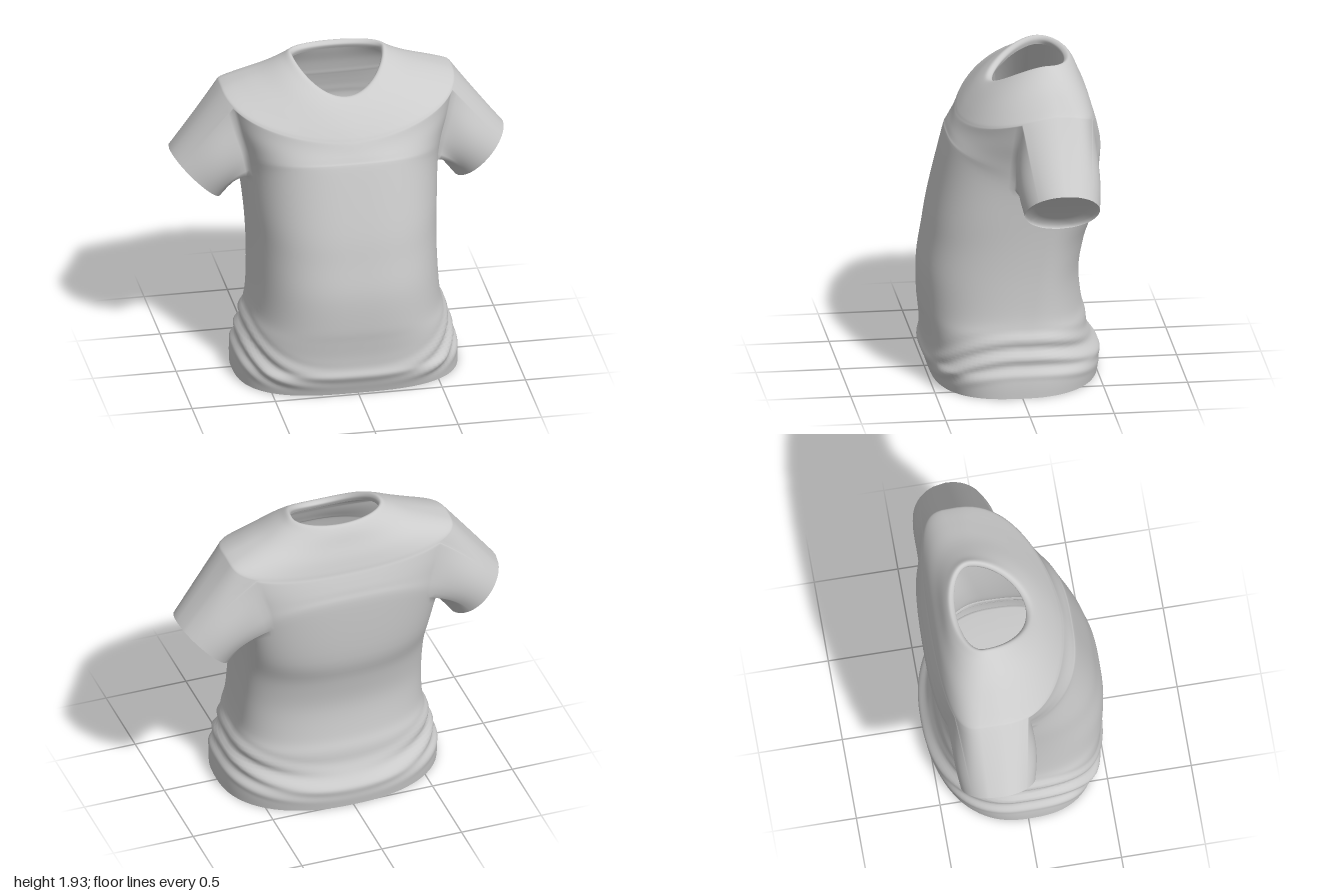
import * as THREE from 'three';

const N = 96;        // columns around the body
const S = 5;         // rings between two listed sections
const FRONT = 5, BACK = 10; // armhole width in columns, either side of the seam

// Body below the armpits: y, half width, front z, back z
const LOWER = [
  [0, 0.67, 0.48, -0.515], [0.06, 0.67, 0.5, -0.525], [0.12, 0.665, 0.525, -0.53],
  [0.17, 0.65, 0.515, -0.505], [0.25, 0.625, 0.515, -0.46], [0.35, 0.6, 0.525, -0.445],
  [0.45, 0.57, 0.535, -0.42], [0.65, 0.557, 0.535, -0.405], [0.85, 0.557, 0.505, -0.44],
  [1.05, 0.567, 0.47, -0.495],
];
// Chest to collar: side y, front y, back y, half width, front z, back z, roundness
const UPPER = [
  [1.22, 1.4, 1.42, 0.585, 0.385, -0.52, 0.72],
  [1.4, 1.46, 1.52, 0.61, 0.362, -0.508, 0.72],
  [1.58, 1.51, 1.58, 0.66, 0.337, -0.493, 0.72],
  [1.72, 1.55, 1.625, 0.693, 0.318, -0.479, 0.74],
  [1.75, 1.568, 1.645, 0.698, 0.308, -0.472, 0.75],
  [1.768, 1.59, 1.675, 0.665, 0.295, -0.465, 0.76],
  [1.8, 1.64, 1.74, 0.57, 0.26, -0.445, 0.8],
  [1.842, 1.7, 1.81, 0.45, 0.21, -0.415, 0.85],
  [1.9, 1.75, 1.88, 0.335, 0.16, -0.385, 0.93],
  [1.932, 1.772, 1.917, 0.285, 0.125, -0.355, 1],
  [1.912, 1.76, 1.9, 0.265, 0.095, -0.325, 1],
  [1.88, 1.73, 1.87, 0.27, 0.105, -0.335, 1],
];
const SECTIONS = [
  ...LOWER.map(([y, w, f, b]) => [y, y, y, w, f, b, 0.68 + 0.03 * y, -0.16 * y]),
  ...UPPER.map((r) => [...r, -0.2]),
];
const ROWS = (SECTIONS.length - 1) * S + 1;
const ARM_LOW = LOWER.length * S, ARM_TOP = ARM_LOW + 4 * S;
const COLLAR = ARM_LOW + 8 * S;
const { smoothstep, clamp } = THREE.MathUtils;

// Smooth interpolation between the listed sections
function sectionAt(row) {
  const last = SECTIONS.length - 1;
  const k = Math.min(Math.floor(row / S), last - 1), t = row / S - k;
  const at = (i) => SECTIONS[Math.min(Math.max(i, 0), last)];
  return at(k).map((b, n) => {
    const a = at(k - 1)[n], c = at(k + 1)[n], d = at(k + 2)[n];
    return b + 0.5 * t * (c - a + t * (2 * a - 5 * b + 4 * c - d + t * (3 * (b - c) + d - a)));
  });
}

function bodyPoint(col, section) {
  const [ySide, yFront, yBack, width, zFront, zBack, round, zSide] = section;
  const angle = (col / N) * Math.PI * 2;
  const c = Math.cos(angle), s = Math.sin(angle);
  const isFront = s >= 0, side = Math.abs(c), depth = Math.abs(s);
  // The back is rounder at the waist and squarer across the shoulder blades
  const blades = smoothstep(ySide, 0.9, 1.4) * (1 - smoothstep(ySide, 1.76, 1.9));
  const waist = 1 - smoothstep(ySide, 0.8, 1.3);
  const slope = smoothstep(ySide, 1.3, 1.72) * (1 - smoothstep(ySide, 1.75, 1.88));
  const xPower = round + (isFront ? 0.4 * slope : 0.22 * waist + 0.1 * slope);
  const zPower = round * (isFront ? 1.1 : 0.95 - 0.42 * blades + 0.33 * waist);
  const yPower = 1.2 + 0.6 * smoothstep(ySide, 1.76, 1.9);
  const x = Math.sign(c) * width * side ** xPower;
  const z = zSide + ((isFront ? zFront : zBack) - zSide) * depth ** zPower;
  const y = ySide + ((isFront ? yFront : yBack) - ySide) * depth ** yPower;
  // Bunched folds above the hem, deepest at the sides and sagging to the middle
  const phase = y + (isFront ? 0.2 : 0.1) * s * s;
  const mask = Math.sin(Math.PI * clamp((phase - 0.1) / 0.32, 0, 1)) * smoothstep(y, 0.02, 0.1);
  const fold = 1 + (0.006 + 0.016 * side) * mask * Math.sin((Math.PI * 2 * phase) / 0.105);
  return new THREE.Vector3(x * fold, y, z * fold);
}

export function createModel() {
  const model = new THREE.Group();
  model.name = 'shirt';
  const material = new THREE.MeshStandardMaterial({ color: 0xcccccc, side: THREE.DoubleSide });
  const points = [];
  const id = (col, row) => row * N + ((col + N) % N);
  const quad = (list, a, b, c, d) => list.push(a, d, c, a, c, b);
  const addMesh = (name, geometry) => {
    const mesh = new THREE.Mesh(geometry, material);
    mesh.name = name;
    model.add(mesh);
  };

  for (let row = 0; row < ROWS; row++) {
    const section = sectionAt(row);
    for (let col = 0; col < N; col++) points.push(bodyPoint(col, section));
  }

  // Body and collar faces, leaving the two armholes open
  const inArmhole = (col, row) => {
    if (row < ARM_LOW || row >= ARM_TOP) return false;
    const right = N / 2;
    return col < FRONT || col >= N - BACK || (col >= right - FRONT && col < right + BACK);
  };
  const body = [], collar = [];
  for (let row = 0; row < ROWS - 1; row++) {
    for (let col = 0; col < N; col++) {
      if (inArmhole(col, row)) continue;
      quad(row < COLLAR ? body : collar,
        id(col, row), id(col + 1, row), id(col + 1, row + 1), id(col, row + 1));
    }
  }

  // A sleeve grows from the edge of its armhole to a round slanted cuff
  function sleeve(side) {
    const c0 = side > 0 ? -BACK : N / 2 - FRONT;
    const c1 = side > 0 ? FRONT : N / 2 + BACK;
    const loop = [];
    for (let c = c0; c < c1; c++) loop.push(id(c, ARM_LOW));
    for (let r = ARM_LOW; r < ARM_TOP; r++) loop.push(id(c1, r));
    for (let c = c1; c > c0; c--) loop.push(id(c, ARM_TOP));
    for (let r = ARM_TOP; r > ARM_LOW; r--) loop.push(id(c0, r));

    // Ellipse from the shoulder (t = 0) to the cuff (t = 1)
    const mix = THREE.MathUtils.lerp;
    const ellipse = (a, t) => new THREE.Vector3(
      side * (mix(0.642, 0.85, t) + mix(0.057, 0.15, t) * Math.sin(a)),
      mix(1.485, 1.21, t) + mix(0.265, 0.15, t) * Math.sin(a),
      mix(-0.2, -0.212, t) + (mix(0.25, 0.222, t) + 0.01 * Math.sin(Math.PI * t)) * Math.cos(a));

    const faces = [], steps = 12, n = loop.length;
    let previous = loop;
    for (let k = 1; k <= steps; k++) {
      const t = k / steps;
      const ring = loop.map((index) => {
        const p = points[index];
        const a = Math.atan2((p.y - 1.485) / 0.265, (p.z + 0.2) / 0.25);
        const offset = p.clone().sub(ellipse(a, 0)).multiplyScalar((1 - t) ** 2.5);
        return points.push(ellipse(a, t).add(offset)) - 1;
      });
      for (let i = 0; i < n; i++) {
        const j = (i + 1) % n;
        quad(faces, previous[i], previous[j], ring[j], ring[i]);
      }
      previous = ring;
    }
    return { faces, cuff: previous.map((index) => points[index]) };
  }
  const left = sleeve(1), right = sleeve(-1);

  // Shared normals keep the joins between the parts smooth
  const whole = new THREE.BufferGeometry().setFromPoints(points);
  whole.setIndex([...body, ...collar, ...left.faces, ...right.faces]);
  whole.computeVertexNormals();
  const addPart = (name, index) => {
    const geometry = new THREE.BufferGeometry();
    geometry.setAttribute('position', whole.getAttribute('position'));
    geometry.setAttribute('normal', whole.getAttribute('normal'));
    geometry.setIndex(index);
    addMesh(name, geometry);
  };
  addPart('body', body);
  addPart('collar', collar);
  addPart('leftSleeve', left.faces);
  addPart('rightSleeve', right.faces);

  // Shallow hollow lining closing an opening; inward points into the shirt
  function addLining(name, rim, centre, inward, flip) {
    const n = rim.length, index = [], verts = [];
    const levels = [[1, 0], [0.975, 0.6], [0.7, 0.85], [0.35, 1]];
    for (const [scale, depth] of levels) {
      for (const p of rim) verts.push(centre.clone().lerp(p, scale).addScaledVector(inward, depth));
    }
    verts.push(centre.clone().add(inward));
    for (let i = 0; i < n; i++) {
      const j = (i + 1) % n;
      for (let k = 0; k < levels.length - 1; k++) {
        const a = k * n, b = a + n;
        if (flip) quad(index, a + i, a + j, b + j, b + i);
        else quad(index, a + j, a + i, b + i, b + j);
      }
      const a = (levels.length - 1) * n;
      index.push(verts.length - 1, a + (flip ? j : i), a + (flip ? i : j));
    }
    const geometry = new THREE.BufferGeometry().setFromPoints(verts);
    geometry.setIndex(index);
    geometry.computeVertexNormals();
    addMesh(name, geometry);
  }
  addLining('hemLining', points.slice(0, N), new THREE.Vector3(), new THREE.Vector3(0, 0.02, 0), false);
  for (const [name, side, cuff] of [['leftCuffLining', 1, left.cuff], ['rightCuffLining', -1, right.cuff]]) {
    addLining(name, cuff, new THREE.Vector3(side * 0.85, 1.21, -0.212),
      new THREE.Vector3(-side * 0.03, 0.03, 0), true);
  }
  return model;
}
